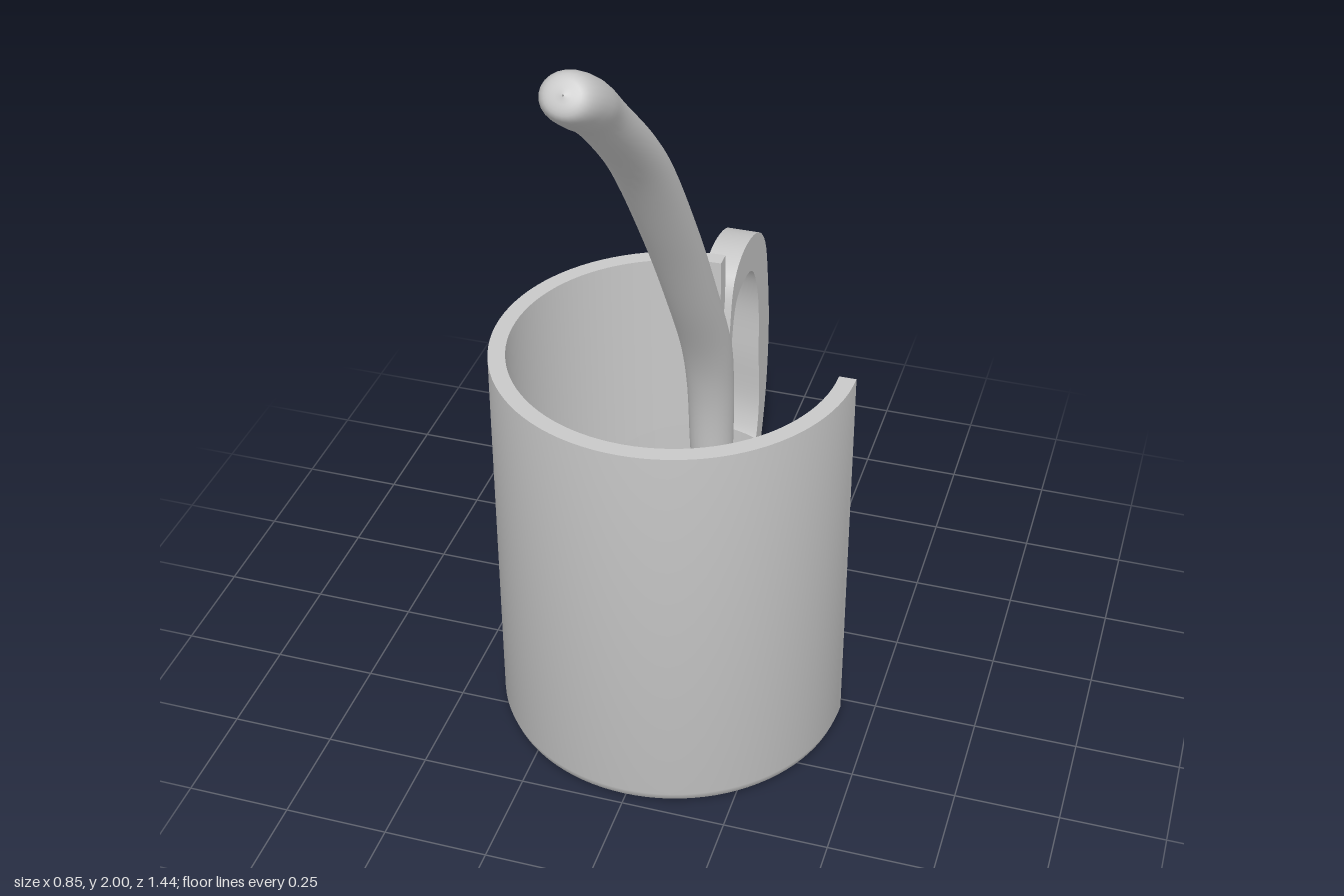
import * as THREE from 'three';
import { toCreasedNormals } from 'three/addons/utils/BufferGeometryUtils.js';

const CZ = 0.065; // mug axis

export function createModel() {
  const group = new THREE.Group();
  const grey = new THREE.MeshStandardMaterial({ color: 0xc8c8c8, side: THREE.DoubleSide });
  grey.name = 'light grey';

  const add = (name, geometry, x = 0, y = 0, z = 0) => {
    const mesh = new THREE.Mesh(geometry, grey);
    mesh.name = name;
    mesh.position.set(x, y, z);
    group.add(mesh);
    return mesh;
  };

  // Mug body: three quarters of a lathe, with the back quarter cut away
  const profile = [[0, 0], [0.39, 0], [0.405, 0.004], [0.418, 0.015], [0.425, 0.035], [0.425, 1.015],
    [0.385, 1.015], [0.385, 0.035], [0, 0.035]].map(p => new THREE.Vector2(...p));
  const body = new THREE.LatheGeometry(profile, 72, Math.PI, Math.PI * 1.5);
  add('mugBody', toCreasedNormals(body, 0.6), 0, 0, CZ);

  // Flat faces closing the cut
  const section = new THREE.ShapeGeometry(new THREE.Shape(profile));
  add('cutFaceSide', section, 0, 0, CZ);
  add('cutFaceBack', section, 0, 0, CZ).rotation.y = Math.PI / 2;

  // Mug handle: a closed rounded loop, points are (distance behind centre, height)
  const loop = pts => new THREE.CatmullRomCurve3(
    pts.map(([u, v]) => new THREE.Vector3(u, v, 0)), true).getPoints(72).slice(0, -1)
    .map(p => new THREE.Vector2(p.x, p.y));
  const ring = new THREE.Shape(loop([[0.335, 0.6], [0.345, 0.82], [0.38, 0.93], [0.46, 0.97], [0.59, 0.95],
    [0.67, 0.88], [0.71, 0.74], [0.73, 0.56], [0.705, 0.35], [0.65, 0.22], [0.56, 0.175], [0.45, 0.17],
    [0.375, 0.225], [0.345, 0.34]]));
  ring.holes.push(new THREE.Path(loop([[0.35, 0.58], [0.36, 0.75], [0.4, 0.86], [0.48, 0.88], [0.55, 0.86],
    [0.61, 0.75], [0.63, 0.55], [0.64, 0.36], [0.6, 0.265], [0.5, 0.23], [0.41, 0.255], [0.36, 0.36]])));
  const handle = new THREE.ExtrudeGeometry(ring, { depth: 0.08, bevelEnabled: false });
  handle.rotateY(Math.PI / 2);
  add('mugHandle', toCreasedNormals(handle, 0.6), -0.062);

  // Tilted drink: open wall with a sloping upper edge, and its base disc
  const wall = new THREE.CylinderGeometry(0.375, 0.384, 1, 96, 1, true);
  const pos = wall.attributes.position;
  for (let i = 0; i < pos.count; i++) {
    const z = pos.getZ(i);
    pos.setY(i, pos.getY(i) > 0 ? Math.max(0.05, 0.283 - 0.69 * z) : 0.037);
  }
  wall.computeVertexNormals();
  add('drinkWall', wall, 0, 0, CZ);
  const base = new THREE.CircleGeometry(0.384, 72);
  base.rotateX(-Math.PI / 2);
  add('drinkBase', base, 0, 0.037, CZ);

  // Three by three floating balls
  const ball = new THREE.SphereGeometry(0.08, 32, 20);
  for (const x of [-0.222, -0.009, 0.204])
    for (const z of [-0.165, 0.05, 0.265]) add('ball', ball, x, 0.25, z);

  // Spoon stem: oval rings swept along a bent path; rows are x, y, z, half width, half depth
  const stem = [
    [-0.02, 1.975, 0.695, 0.002, 0.002], [-0.02, 1.965, 0.68, 0.05, 0.045], [-0.02, 1.92, 0.61, 0.07, 0.055],
    [-0.015, 1.83, 0.5, 0.06, 0.05], [-0.008, 1.62, 0.29, 0.066, 0.05], [0, 1.33, 0.09, 0.065, 0.05],
    [0.005, 1.08, -0.06, 0.063, 0.05], [0.005, 0.88, -0.175, 0.062, 0.052], [0, 0.72, -0.235, 0.058, 0.054],
    [-0.005, 0.55, -0.265, 0.055, 0.056], [-0.005, 0.38, -0.265, 0.05, 0.05], [0, 0.22, -0.19, 0.05, 0.04],
    [0, 0.15, -0.02, 0.05, 0.035], [0, 0.18, 0.16, 0.05, 0.03], [0, 0.23, 0.28, 0.04, 0.02]];
  add('spoonStem', sweep(stem, 90, 24));

  // Spoon bowl: a flattened oval whose ends curl upward
  const bowl = new THREE.SphereGeometry(1, 48, 24);
  const bp = bowl.attributes.position;
  for (let i = 0; i < bp.count; i++) {
    const x = bp.getX(i);
    bp.setXYZ(i, x * 0.285, 0.23 + bp.getY(i) * 0.04 + 0.13 * x * x, bp.getZ(i) * 0.1);
  }
  bowl.computeVertexNormals();
  add('spoonBowl', bowl, -0.005, 0, 0.3);

  return group;
}

// Sweeps an oval section along a path that bends in the yz plane
function sweep(rows, steps, sides) {
  const path = new THREE.CatmullRomCurve3(rows.map(r => new THREE.Vector3(r[0], r[1], r[2])), false, 'catmullrom');
  const size = new THREE.CatmullRomCurve3(rows.map(r => new THREE.Vector3(r[3], r[4], 0)), false, 'catmullrom');
  const verts = [], index = [];
  for (let i = 0; i <= steps; i++) {
    const p = path.getPoint(i / steps), t = path.getTangent(i / steps), s = size.getPoint(i / steps);
    const len = Math.hypot(t.y, t.z);
    for (let j = 0; j < sides; j++) {
      const a = j / sides * Math.PI * 2, c = Math.cos(a) * s.x, n = Math.sin(a) * s.y / len;
      verts.push(p.x + c, p.y + t.z * n, p.z - t.y * n);
      if (i === steps) continue;
      const k = (j + 1) % sides, r = i * sides, q = r + sides;
      index.push(r + j, r + k, q + j, r + k, q + k, q + j);
    }
  }
  const g = new THREE.BufferGeometry();
  g.setAttribute('position', new THREE.Float32BufferAttribute(verts, 3));
  g.setIndex(index);
  g.computeVertexNormals();
  return g;
}
